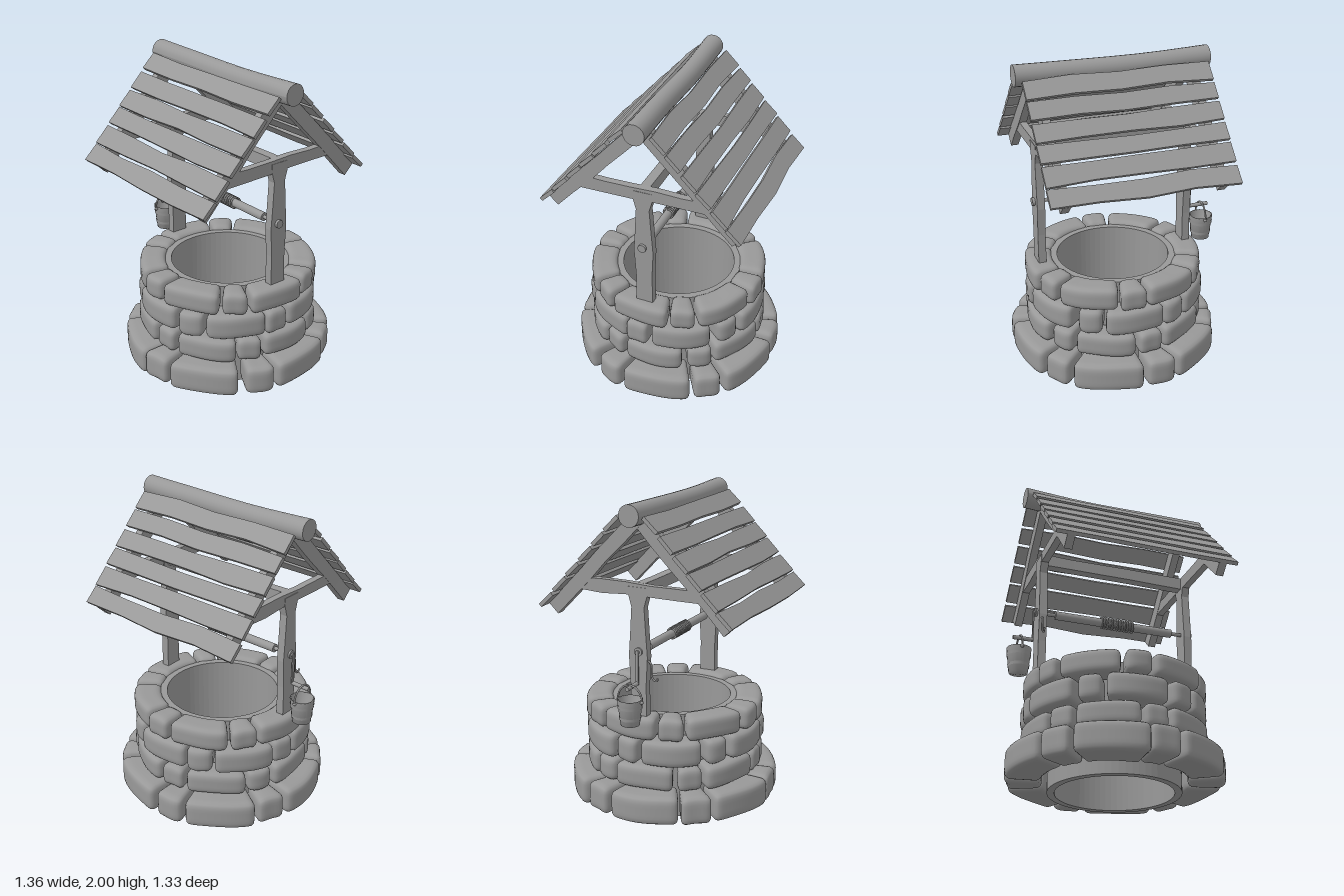
import * as THREE from 'three';
import { mergeVertices } from 'three/addons/utils/BufferGeometryUtils.js';

const CX = 0.02; // axis of the well
const CZ = 0.02; // plane of the roof ridge
const color = 0x999999;
const smooth = new THREE.MeshStandardMaterial({ color });
const open = new THREE.MeshStandardMaterial({ color, side: THREE.DoubleSide });
const flat = new THREE.MeshStandardMaterial({ color, flatShading: true });

let seed = 7;
const rand = () => {
  seed = (seed * 16807) % 2147483647;
  return seed / 2147483647;
};
const jitter = (a) => (rand() * 2 - 1) * a;
const V = (x, y, z) => new THREE.Vector3(x, y, z);

function add(parent, name, geometry, material, x = 0, y = 0, z = 0) {
  const mesh = new THREE.Mesh(geometry, material);
  mesh.name = name;
  mesh.position.set(x, y, z);
  parent.add(mesh);
  return mesh;
}

// Moves every vertex of a geometry with a rule
function warp(geometry, rule) {
  const p = geometry.attributes.position;
  const v = new THREE.Vector3();
  for (let i = 0; i < p.count; i++) {
    rule(v.fromBufferAttribute(p, i));
    p.setXYZ(i, v.x, v.y, v.z);
  }
  geometry.computeVertexNormals();
  return geometry;
}

// Rounded block bent round the well: angles in radians from +z towards +x
function stoneGeometry(angle, span, r0, r1, height) {
  const w = span * r1, d = r1 - r0;
  let g = new THREE.BoxGeometry(w, height, d, Math.ceil(w / 0.025), 8, 8);
  g.deleteAttribute('uv');
  g.deleteAttribute('normal');
  g = mergeVertices(g);
  const r = 0.04, half = V(w / 2 - r, height / 2 - r, d / 2 - r);
  const low = half.clone().negate();
  const wave = rand() * 6, tilt = jitter(0.015);
  return warp(g, (v) => {
    const core = v.clone().clamp(low, half);
    const out = v.clone().sub(core);
    if (out.lengthSq() > 0) v.copy(core).addScaledVector(out.normalize(), r);
    const u = (2 * v.x) / w;
    v.y += v.x * tilt + 0.002 * Math.sin(u * 3 + wave);
    const radius = (r0 + r1) / 2 + v.z - (v.z > 0 ? 0.005 * (1 + Math.sin(u * 2.5 + wave)) : 0);
    const a = angle + v.x / r1;
    v.set(Math.sin(a) * radius, v.y, Math.cos(a) * radius);
  });
}

// Timber along x with sections that swell and sway
function timber(length, height, depth, sway, segments = 5) {
  const sections = Array.from({ length: segments + 1 }, () =>
    [jitter(sway), jitter(sway), jitter(sway)]);
  return warp(new THREE.BoxGeometry(length, height, depth, segments, 1, 1), (v) => {
    const s = sections[Math.round((v.x / length + 0.5) * segments)];
    v.y += v.y > 0 ? s[0] : s[1];
    v.z += s[2] * 0.3;
  });
}

function tube(parent, name, points, radius, segments = 24) {
  return add(parent, name,
    new THREE.TubeGeometry(new THREE.CatmullRomCurve3(points), segments, radius, 8), smooth);
}

function xRod(parent, name, x0, x1, radius, y, z, sides = 16) {
  const rod = add(parent, name,
    new THREE.CylinderGeometry(radius, radius, x1 - x0, sides), smooth, (x0 + x1) / 2, y, z);
  rod.rotation.z = Math.PI / 2;
  return rod;
}

function buildWall(model) {
  const wall = new THREE.Group();
  wall.name = 'stoneWall';
  wall.position.x = CX;
  model.add(wall);
  // Open lining pipe
  const ring = new THREE.Shape().absarc(0, 0, 0.405, 0, Math.PI * 2);
  ring.holes.push(new THREE.Path().absarc(0, 0, 0.36, 0, Math.PI * 2, true));
  const lining = new THREE.ExtrudeGeometry(ring, { depth: 0.685, bevelEnabled: false, curveSegments: 32 });
  add(wall, 'lining', lining.rotateX(-Math.PI / 2), smooth);
  // Courses: bottom, top, inner radius, outer radius, angle of one small stone
  const courses = [
    [0.05, 0.235, 0.44, 0.67, 8],
    [0.235, 0.39, 0.395, 0.575, 5],
    [0.395, 0.56, 0.395, 0.575, 25],
    [0.56, 0.71, 0.395, 0.575, -6],
  ];
  const rad = THREE.MathUtils.degToRad;
  for (const [y0, y1, r0, r1, start] of courses) {
    for (let i = 0; i < 6; i++) {
      const a = start + i * 60 + jitter(1.5);
      const small = 16.5 + jitter(1);
      for (const [name, centre, span] of [['smallStone', a, small], ['longStone', a + 30, 39.5]]) {
        const g = stoneGeometry(rad(centre), rad(span), r0, r1 + jitter(0.005), y1 - y0 - 0.004);
        add(wall, name, g, smooth, 0, (y0 + y1) / 2, 0);
      }
    }
  }
}

function buildFrame(model) {
  // Side outline of the post: height, half width
  const outline = [[0.62, 0.055], [0.9, 0.052], [1.08, 0.062], [1.22, 0.052], [1.38, 0.042], [1.45, 0.062], [1.5, 0.062]];
  const shape = new THREE.Shape([
    ...outline.map(([y, w]) => new THREE.Vector2(w, y)),
    ...outline.slice().reverse().map(([y, w]) => new THREE.Vector2(-w, y)),
  ]);
  for (const x of [-0.477, 0.498]) {
    const frame = new THREE.Group();
    frame.name = 'sideFrame';
    frame.position.set(x, 0, CZ);
    model.add(frame);
    const post = new THREE.ExtrudeGeometry(shape, { depth: 0.05, bevelEnabled: false });
    add(frame, 'post', post.translate(0, 0, -0.025).rotateY(-Math.PI / 2), flat);
    const beam = add(frame, 'crossBeam', timber(0.8, 0.075, 0.045, 0.006), flat, 0, 1.482, 0);
    beam.rotation.y = Math.PI / 2;
    for (const s of [-1, 1]) {
      const rafter = timber(0.83, 0.088, 0.05, 0.004).rotateY(Math.PI / 2);
      add(frame, 'rafter', rafter, flat, 0, 1.603, s * 0.297).rotation.x = s * 0.803;
    }
  }
  add(model, 'tieBeam', timber(0.95, 0.07, 0.06, 0.005), flat, 0.01, 1.48, CZ);
}

function buildRoof(model) {
  const roof = new THREE.Group();
  roof.name = 'roof';
  roof.position.set(0.01, 0, CZ);
  model.add(roof);
  // Gnarled ridge log
  const log = new THREE.CylinderGeometry(0.066, 0.066, 1.235, 20, 8).rotateZ(Math.PI / 2);
  warp(log, (v) => {
    const dip = Math.cos(v.x * 2.5);
    v.y -= 0.012 * dip;
    v.z += 0.005 * Math.sin(v.x * 7);
    v.z *= 1 - 0.06 * dip;
  });
  add(roof, 'ridgeLog', log, smooth, 0, 1.933, 0);
  // Six uneven planks on each slope, lower edges lifted a little
  for (const s of [-1, 1]) {
    for (let i = 0; i < 6; i++) {
      const edges = Array.from({ length: 5 }, () => [jitter(0.009), jitter(0.009)]);
      const geometry = warp(new THREE.BoxGeometry(1.17, 0.024, 0.117, 4, 1, 1), (v) => {
        const e = edges[Math.round((v.x / 1.17 + 0.5) * 4)];
        v.z += v.z > 0 ? e[0] : e[1];
      });
      const plank = add(roof, 'plank', geometry, flat, 0, 1.878 - i * 0.1, s * (0.127 + i * 0.092));
      plank.rotation.x = s * (0.77 + jitter(0.03));
    }
  }
}

function buildWinch(model) {
  const y = 1.11, z = 0.025;
  xRod(model, 'axle', -0.525, 0.54, 0.012, y, z);
  xRod(model, 'roller', -0.385, 0.4, 0.027, y, z);
  xRod(model, 'axleCap', -0.515, -0.495, 0.026, y, z);
  xRod(model, 'axleCap', 0.515, 0.54, 0.026, y, z);
  // Rope wound on the roller
  const turns = 13, coil = [];
  for (let i = 0; i <= turns * 10; i++) {
    const a = (i / 10) * Math.PI * 2;
    coil.push(V(-0.08 + 0.22 * i / (turns * 10), y + 0.034 * Math.cos(a), z + 0.034 * Math.sin(a)));
  }
  tube(model, 'rope', coil, 0.006, turns * 16);
  // Crank arm and grip
  add(model, 'crankArm', new THREE.BoxGeometry(0.008, 0.21, 0.018), flat, -0.525, 1.013, z);
  xRod(model, 'crankGrip', -0.65, -0.53, 0.013, 0.918, z, 12);
  // Hook on the post
  tube(model, 'hook', [V(-0.485, 1.06, 0.07), V(-0.485, 1.04, 0.096), V(-0.485, 0.96, 0.102),
    V(-0.485, 0.938, 0.118), V(-0.485, 0.938, 0.137), V(-0.485, 0.957, 0.142)], 0.006);
}

function buildBucket(model) {
  const bucket = new THREE.Group();
  bucket.name = 'bucket';
  bucket.position.set(-0.607, 0.685, CZ);
  model.add(bucket);
  const profile = [[0, 0], [0.058, 0], [0.077, 0.16], [0.068, 0.16], [0.051, 0.015], [0, 0.015]];
  const body = new THREE.LatheGeometry(profile.map(([r, h]) => new THREE.Vector2(r, h)), 20);
  add(bucket, 'bucketBody', body, open);
  for (const h of [0.045, 0.115]) {
    const r = 0.06 + h * 0.119;
    add(bucket, 'bucketBand', new THREE.CylinderGeometry(r + 0.002, r, 0.018, 20, 1, true), open, 0, h, 0);
  }
  // Bail handle with ears
  const bail = [];
  for (let i = 0; i <= 12; i++) {
    const a = (i / 12) * Math.PI;
    bail.push(V(0, 0.15 + 0.097 * Math.sin(a), 0.082 * Math.cos(a)));
  }
  tube(bucket, 'bail', bail, 0.006);
  for (const s of [-1, 1]) {
    add(bucket, 'bailEar', new THREE.SphereGeometry(0.012, 10, 8), smooth, 0, 0.15, s * 0.078);
  }
}

export function createModel() {
  const model = new THREE.Group();
  model.name = 'well';
  buildWall(model);
  buildFrame(model);
  buildRoof(model);
  buildWinch(model);
  buildBucket(model);
  return model;
}
